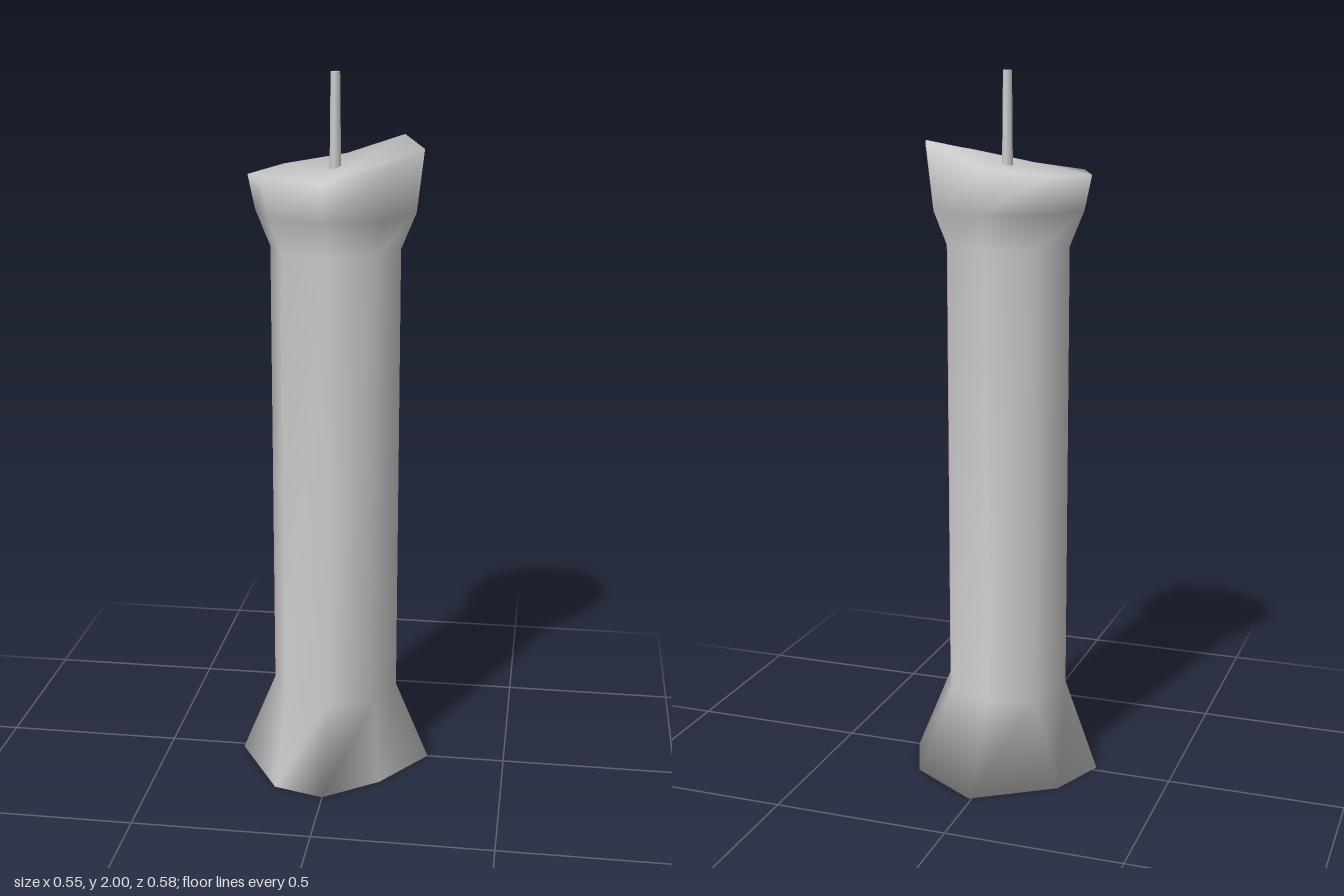
import * as THREE from 'three';

const SIDES = 8;
const CENTRE_Z = 0.02;

// Rings run back, back-left ... round to back-right, clockwise seen from above
function octagon(radius, heights) {
  return Array.from({ length: SIDES }, (_, k) => {
    const a = (k / SIDES) * Math.PI * 2;
    const y = Array.isArray(heights) ? heights[k] : heights;
    return [radius * Math.sin(a), y, CENTRE_Z - radius * Math.cos(a)];
  });
}

// Joins the rings into one closed, smoothly shaded skin
function loft(rings) {
  const index = [];
  for (let r = 0; r < rings.length - 1; r++) {
    for (let k = 0; k < SIDES; k++) {
      const n = (k + 1) % SIDES;
      const a = r * SIDES + k, b = r * SIDES + n;
      const d = a + SIDES, c = b + SIDES;
      index.push(a, d, b, b, d, c);
    }
  }
  // caps, fanned from the front corner
  const top = (rings.length - 1) * SIDES, f = SIDES / 2;
  for (let i = 1; i < SIDES - 1; i++) {
    const k = (f + i) % SIDES, n = (f + i + 1) % SIDES;
    index.push(f, k, n);
    index.push(top + f, top + n, top + k);
  }
  const g = new THREE.BufferGeometry();
  g.setAttribute('position', new THREE.Float32BufferAttribute(rings.flat(2), 3));
  g.setIndex(index);
  g.computeVertexNormals();
  return g;
}

export function createModel() {
  const group = new THREE.Group();
  group.name = 'candle';
  const material = new THREE.MeshStandardMaterial({ color: 0xcccccc });

  // Uneven foot of melted wax
  const foot = [
    [0.008, -0.29], [0.207, -0.167], [0.275, 0], [0.15, 0.177],
    [0, 0.287], [-0.143, 0.247], [-0.278, 0.018], [-0.21, -0.147],
  ].map(([x, z]) => [x, 0, z]);

  // Slanting rim, highest at the back left
  const rimHeights = [1.757, 1.82, 1.8, 1.775, 1.735, 1.725, 1.725, 1.733];

  const wax = new THREE.Mesh(loft([
    foot,
    octagon(0.18, 0.24),
    octagon(0.18, 1.53),
    octagon(0.221, 1.63),
    octagon(0.241, rimHeights),
  ]), material);
  wax.name = 'wax';
  group.add(wax);

  // Wick
  const wick = new THREE.Mesh(new THREE.CylinderGeometry(0.013, 0.016, 0.28, 8), material);
  wick.name = 'wick';
  wick.position.set(0, 1.86, CENTRE_Z);
  group.add(wick);

  return group;
}
